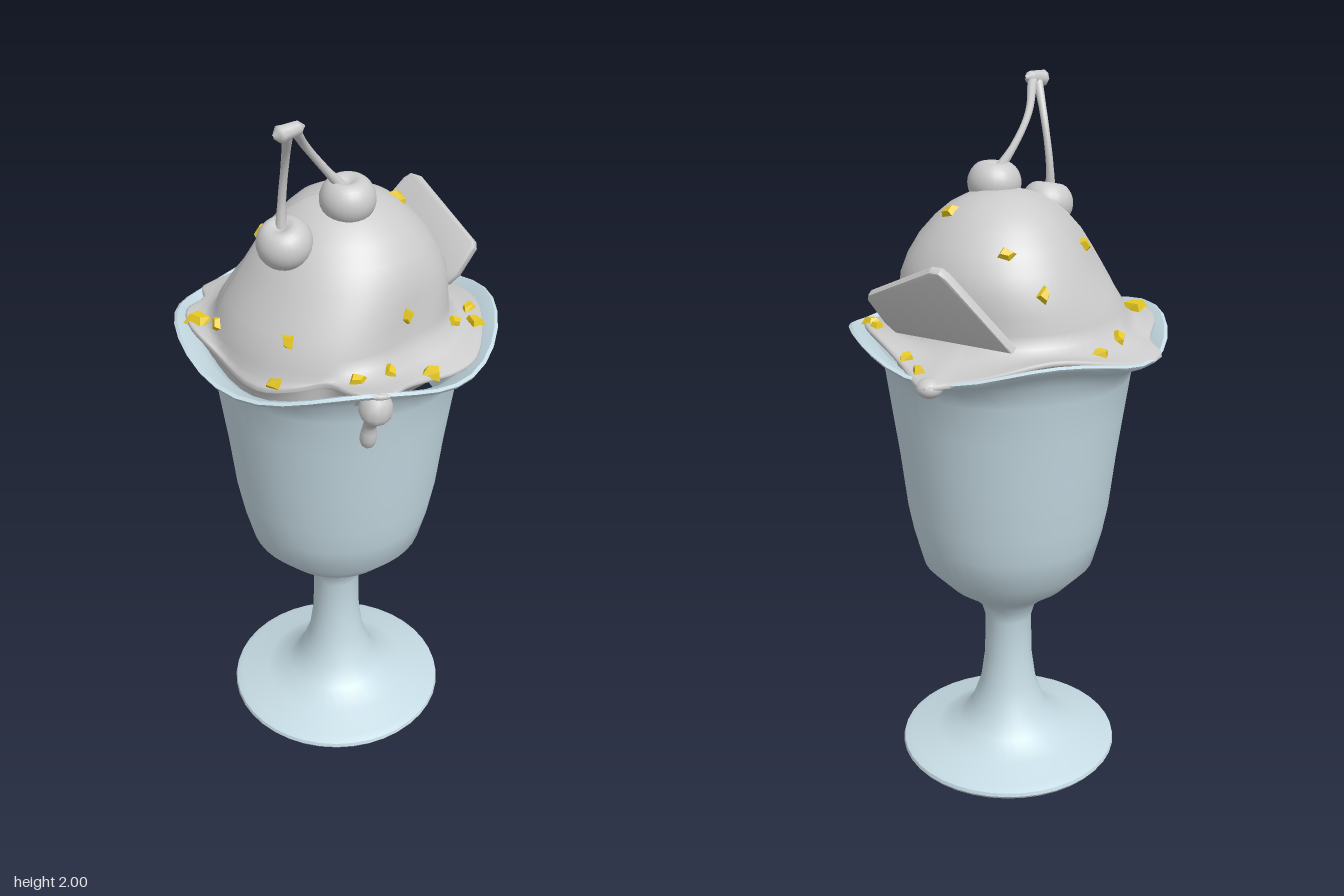
import * as THREE from 'three';
import { mergeVertices, toCreasedNormals } from 'three/addons/utils/BufferGeometryUtils.js';

const V = (x, y, z) => new THREE.Vector3(x, y, z);
const { smoothstep, lerp } = THREE.MathUtils;
const grey = new THREE.MeshStandardMaterial({ color: 0xcccccc });
const glassMat = new THREE.MeshStandardMaterial({ color: 0xc6dbe4 });
const nutMat = new THREE.MeshStandardMaterial({ color: 0xe6c822, flatShading: true });

function add(parent, name, geometry, material = grey) {
  const mesh = new THREE.Mesh(geometry, material);
  mesh.name = name;
  parent.add(mesh);
  return mesh;
}

// Welds the seam so that recomputed normals are smooth all round
function weld(geometry) {
  geometry.deleteAttribute('uv');
  geometry.deleteAttribute('normal');
  const g = mergeVertices(geometry, 1e-5);
  g.computeVertexNormals();
  return g;
}

// The rim rises on the four axes and dips on the diagonals
const wave = (x, z) => 0.025 * Math.cos(4 * Math.atan2(z, x));

// Footed glass with a flared, wavy rim
function glassGeometry() {
  const profile = [
    [0, 0.014], [0.295, 0.012], [0.305, 0], [0.318, 0.002], [0.325, 0.012], [0.322, 0.022], [0.3, 0.032], [0.22, 0.05],
    [0.15, 0.085], [0.11, 0.14], [0.083, 0.22], [0.071, 0.31], [0.068, 0.44], [0.082, 0.49],
    [0.125, 0.53], [0.18, 0.57], [0.25, 0.645], [0.275, 0.74], [0.29, 0.82], [0.308, 0.98],
    [0.327, 1.12], [0.342, 1.23], [0.356, 1.278], [0.385, 1.308], [0.432, 1.333], [0.437, 1.342],
    [0.428, 1.347], [0.38, 1.32], [0.348, 1.286], [0.332, 1.23], [0.3, 1.05],
  ].map(([r, y]) => new THREE.Vector2(r, y));
  const g = new THREE.LatheGeometry(profile, 40);
  const p = g.attributes.position;
  for (let i = 0; i < p.count; i++) {
    const x = p.getX(i), y = p.getY(i), z = p.getZ(i);
    p.setY(i, y + wave(x, z) * smoothstep(y, 1.2, 1.34));
  }
  return toCreasedNormals(weld(g), 0.75);
}

// Ice cream: a round dome that runs out into an irregular skirt
function creamGeometry() {
  const cx = -0.015, cz = 0.02, N = 96;
  const outline = [
    [0.388, 0], [0.378, 0.12], [0.335, 0.23], [0.27, 0.28], [0.2, 0.315], [0.12, 0.375], [0.08, 0.42],
    [0.04, 0.438], [-0.03, 0.405], [-0.085, 0.345], [-0.16, 0.325], [-0.25, 0.275], [-0.335, 0.14],
    [-0.395, 0.025], [-0.4, -0.08], [-0.345, -0.19], [-0.34, -0.28], [-0.15, -0.375], [0, -0.39],
    [0.12, -0.39], [0.265, -0.35], [0.325, -0.338], [0.338, -0.29], [0.345, -0.2],
  ].map(([x, z]) => V(x, 0, z));
  const skirt = new THREE.CatmullRomCurve3(outline, true);
  const dome = [
    [0, 1.725], [0.05, 1.722], [0.1, 1.708], [0.145, 1.684], [0.185, 1.65], [0.225, 1.605],
    [0.257, 1.555], [0.282, 1.505], [0.3, 1.455], [0.312, 1.41], [0.32, 1.375],
  ];
  // Fraction towards the outline, and height above the rim line; ends in a hidden floor
  const lip = [
    [0.3, 0.018], [0.65, 0.012], [0.9, 0.011], [0.98, 0.008], [1, 0.001], [0.97, -0.004], [0.8, -0.008],
    [0.1, -0.06], [0, -0.09], [-3, -0.09],
  ];
  const bump = (a, at, w) => Math.exp(-(((a - at) / w) ** 2));
  const pos = [], idx = [];
  const rings = dome.length + lip.length;
  const columns = skirt.getPoints(N).slice(0, N).map((edge) => {
    const a = Math.atan2(edge.z - cz, edge.x - cx);
    const low = 0.12 * bump(a, 0.95, 0.45) + 0.05 * bump(a, -0.75, 0.5);
    const high = 0.1 * bump(a, -2.65, 0.55);
    // The dome leans slightly to the back left as it rises
    const at = (r, y) => {
      const up = smoothstep(y, 1.38, 1.55);
      const k = r * (1 - low * smoothstep(1.7 - y, 0.08, 0.26) - high * up);
      return V(cx + 0.03 * up + Math.cos(a) * k, y, cz - 0.015 * up + Math.sin(a) * k);
    };
    const base = at(0.322, 1.36);
    return [
      ...dome.map(([r, y]) => at(r, y)),
      ...lip.map(([f, h]) => {
        const q = base.clone().lerp(edge, f);
        q.y = 1.337 + h + wave(q.x, q.z) * Math.max(f, 0);
        return q;
      }),
    ];
  });
  for (let i = 0; i < rings; i++) {
    for (let j = 0; j < N; j++) {
      pos.push(...columns[j][i].toArray());
      if (i === rings - 1) continue;
      const n = (j + 1) % N, a = i * N + j, b = a + N, c = (i + 1) * N + n, d = i * N + n;
      idx.push(a, c, b, a, d, c);
    }
  }
  const g = new THREE.BufferGeometry();
  g.setAttribute('position', new THREE.Float32BufferAttribute(pos, 3));
  g.setIndex(idx);
  return weld(g);
}

// Tube whose radius follows a list of values along its length
function taperTube(points, radii, seg = 36, sides = 12) {
  const curve = new THREE.CatmullRomCurve3(points.map((p) => V(...p)));
  const g = new THREE.TubeGeometry(curve, seg, 0.01, sides);
  const p = g.attributes.position, n = g.attributes.normal;
  for (let i = 0; i < p.count; i++) {
    const t = (Math.floor(i / (sides + 1)) / seg) * (radii.length - 1);
    const k = Math.min(Math.floor(t), radii.length - 2);
    const d = lerp(radii[k], radii[k + 1], t - k) - 0.01;
    p.setXYZ(i, p.getX(i) + n.getX(i) * d, p.getY(i) + n.getY(i) * d, p.getZ(i) + n.getZ(i) * d);
  }
  return weld(g);
}

// Round fruit with a dimple where the stem enters
function cherryGeometry() {
  const g = new THREE.SphereGeometry(1, 24, 18);
  const p = g.attributes.position;
  for (let i = 0; i < p.count; i++) {
    const r = Math.hypot(p.getX(i), p.getZ(i)), y = p.getY(i);
    if (y > 0) p.setY(i, y - 0.4 * Math.exp(-((r / 0.35) ** 2)));
  }
  return weld(g);
}

// Broken wafer slab, leaning outwards
function addWafer(parent) {
  const shape = new THREE.Shape(
    [[0, 0], [0.345, 0], [0.365, 0.03], [0.387, 0.11], [0.38, 0.125], [0.155, 0.25], [0.13, 0.25], [0.115, 0.235]]
      .map(([x, y]) => new THREE.Vector2(x, y)));
  const g = new THREE.ExtrudeGeometry(shape, {
    depth: 0.014, bevelThickness: 0.006, bevelSize: 0.005, bevelSegments: 2,
  });
  const u = V(0.69, 0, 0.72).normalize();
  const v = V(0.43, 1, -0.41).normalize();
  const n = u.clone().cross(v).normalize();
  g.applyMatrix4(new THREE.Matrix4().makeBasis(u, n.clone().cross(u), n).setPosition(0.09, 1.385, -0.318));
  add(parent, 'wafer', toCreasedNormals(g, 0.5));
}

// Nut chips dropped onto the ice cream: x, z, size
function addNuts(parent, scoop) {
  const chip = new THREE.CylinderGeometry(0.6, 1, 0.9, 4);
  const p = chip.attributes.position;
  for (let i = 0; i < p.count; i++) if (p.getX(i) > 0.1) p.setZ(i, p.getZ(i) + 0.45);
  const spots = [
    [-0.37, -0.01, 0.042], [-0.325, 0.07, 0.027], [-0.205, 0.295, 0.027], [-0.165, 0.27, 0.026],
    [-0.005, 0.35, 0.027], [0.085, 0.322, 0.026], [0.2, 0.302, 0.034], [0.145, 0.232, 0.026],
    [0.3, 0.11, 0.027], [0.36, 0.105, 0.03], [0.36, 0.04, 0.027], [0.165, -0.02, 0.028],
    [0.225, -0.155, 0.024], [0.07, -0.21, 0.027], [-0.01, -0.27, 0.027], [-0.155, -0.315, 0.027],
    [-0.235, -0.235, 0.028], [-0.185, -0.08, 0.028], [0.315, -0.25, 0.026], [0.325, -0.17, 0.026],
  ];
  spots.forEach(([x, z, s], i) => {
    const hit = new THREE.Raycaster(V(x, 3, z), V(0, -1, 0)).intersectObject(scoop)[0];
    const m = add(parent, 'nutChip', chip, nutMat);
    m.position.copy(hit.point).addScaledVector(hit.face.normal, s * 0.15);
    m.scale.set(s, s * 0.75, s * 0.8);
    m.quaternion.setFromUnitVectors(V(0, 1, 0), hit.face.normal);
    m.rotateY(i * 1.7);
  });
}

export function createModel() {
  const model = new THREE.Group();
  model.name = 'iceCreamSundae';
  add(model, 'glass', glassGeometry(), glassMat);

  const cream = new THREE.Group();
  cream.name = 'iceCream';
  model.add(cream);
  const scoop = add(cream, 'scoop', creamGeometry());
  // Drip that rolls over the rim and hangs down the bowl
  add(cream, 'frontDrip', taperTube(
    [[0.035, 1.332, 0.35], [0.036, 1.333, 0.38], [0.035, 1.315, 0.4], [0.032, 1.275, 0.383], [0.028, 1.235, 0.362],
      [0.026, 1.19, 0.351], [0.026, 1.148, 0.343]],
    [0.01, 0.022, 0.038, 0.044, 0.044, 0.035, 0.025, 0.02, 0.018, 0.019, 0.022, 0.023, 0.018, 0.001]));
  const lump = add(cream, 'backDrip', new THREE.SphereGeometry(0.035, 16, 12));
  lump.position.set(0.302, 1.308, -0.312);
  lump.scale.y = 0.75;
  addWafer(model);
  addNuts(model, scoop);

  // Pair of cherries joined by their stems
  const cherries = new THREE.Group();
  cherries.name = 'cherries';
  model.add(cherries);
  const fruit = cherryGeometry();
  for (const [x, y, z, tilt] of [[0.018, 1.73, 0.07, 0.05], [-0.152, 1.65, 0.13, 0.2]]) {
    const c = add(cherries, 'cherry', fruit);
    c.position.set(x, y, z);
    c.scale.set(0.073, 0.067, 0.075);
    c.rotation.set(tilt, 0, tilt);
  }
  const stemRadii = [0.016, 0.011, 0.01, 0.011, 0.014];
  add(cherries, 'rightStem', taperTube(
    [[0.01, 1.755, 0.075], [-0.045, 1.825, 0.088], [-0.095, 1.9, 0.125], [-0.13, 1.975, 0.2]], stemRadii, 16, 8));
  add(cherries, 'leftStem', taperTube(
    [[-0.16, 1.67, 0.125], [-0.155, 1.76, 0.12], [-0.148, 1.87, 0.145], [-0.148, 1.975, 0.21]], stemRadii, 16, 8));
  add(cherries, 'stemJoint', taperTube(
    [[-0.185, 1.972, 0.228], [-0.15, 1.978, 0.215], [-0.107, 1.982, 0.195]],
    [0.004, 0.023, 0.02, 0.019, 0.018, 0.003], 15, 8));
  return model;
}
